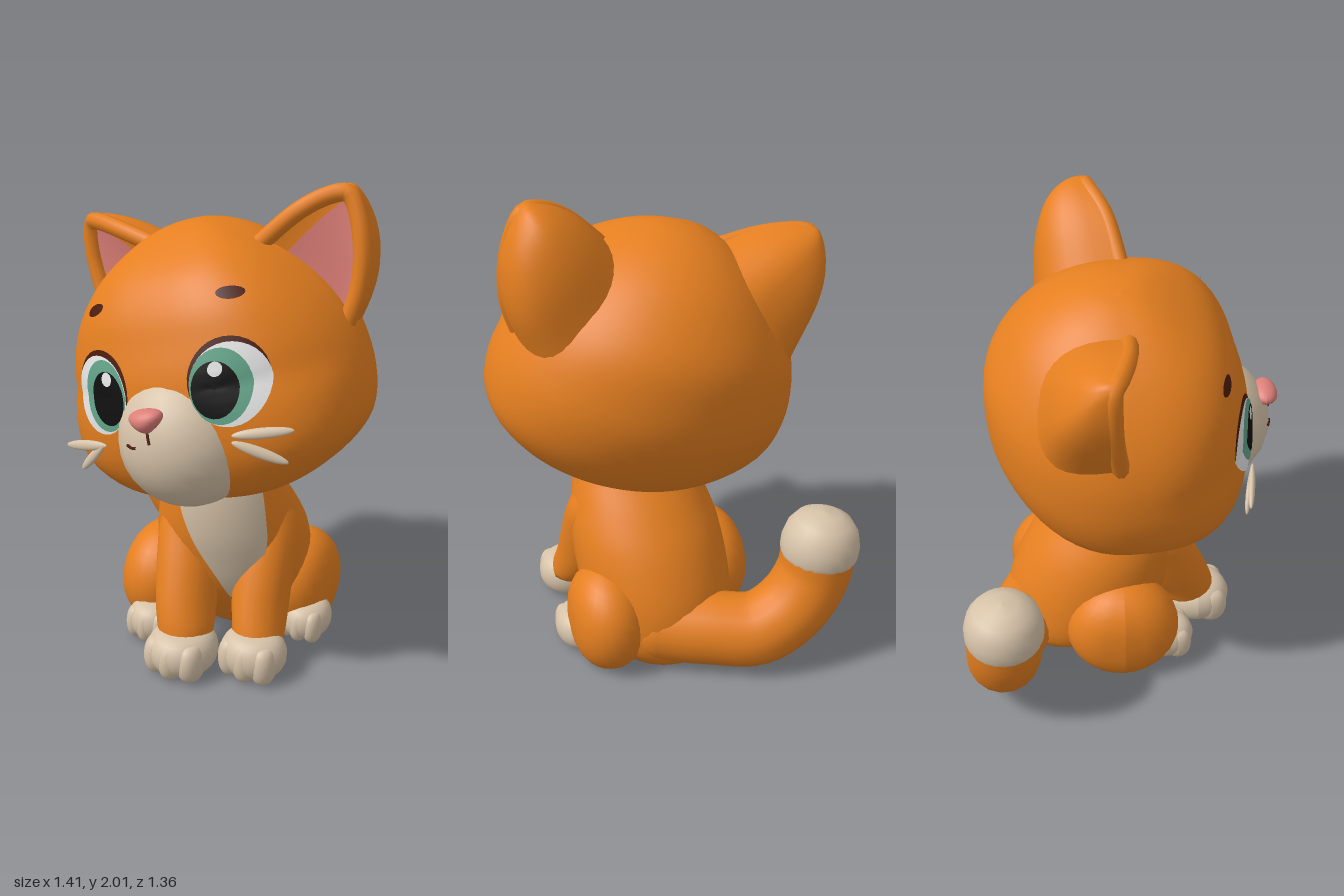
import * as THREE from 'three';

const mat = (name, color, side = THREE.FrontSide) => {
  const m = new THREE.MeshStandardMaterial({ color, side });
  m.name = name;
  return m;
};
const M = {
  orange: mat('orange fur', 0xe57f20),
  cream: mat('cream fur', 0xd6c2a8),
  pink: mat('pink skin', 0xdc7e77),
  white: mat('eye white', 0xe6e6e6),
  green: mat('iris green', 0x62a389),
  black: mat('pupil black', 0x101010),
  brown: mat('dark brown', 0x4b1b0c),
};
const V = (x, y, z) => new THREE.Vector3(x, y, z);

function add(parent, name, geometry, material) {
  const mesh = new THREE.Mesh(geometry, material);
  mesh.name = name;
  parent.add(mesh);
  return mesh;
}

// Skins a grid of points; closed rows wrap around.
function skin(rows, closed = true) {
  const n = rows[0].length, index = [];
  for (let i = 0; i < rows.length - 1; i++) {
    for (let j = 0; j < (closed ? n : n - 1); j++) {
      const a = i * n + j, b = i * n + (j + 1) % n;
      index.push(a, b, a + n, b, b + n, a + n);
    }
  }
  const g = new THREE.BufferGeometry().setFromPoints(rows.flat());
  g.setIndex(index);
  g.computeVertexNormals();
  return g;
}

// Horizontal ellipse sections [y, cx, cz, rx, rz], bottom to top, smoothed by splines.
function sampler(sections) {
  const a = new THREE.CatmullRomCurve3(sections.map(s => V(s[0], s[1], s[2])), false, 'catmullrom');
  const b = new THREE.CatmullRomCurve3(sections.map(s => V(s[0], s[3], s[4])), false, 'catmullrom');
  return t => {
    const p = a.getPoint(t), q = b.getPoint(t);
    return [p.x, p.y, p.z, Math.max(q.y, 0), Math.max(q.z, 0)];
  };
}
function loft(sections, steps = 16, n = 22) {
  const at = sampler(sections), rings = [];
  for (let i = 0; i <= steps; i++) rings.push(at(i / steps));
  rings.unshift([...rings[0].slice(0, 3), 0, 0]);
  rings.push([...rings[steps + 1].slice(0, 3), 0, 0]);
  return skin(rings.map(([y, cx, cz, rx, rz]) => Array.from({ length: n }, (_, j) => {
    const t = j / n * Math.PI * 2;
    return V(cx + rx * Math.sin(t), y, cz + rz * Math.cos(t));
  })));
}

// Ellipsoid whose vertices can be moved by a rule first.
function blob(rx, ry, rz, rule) {
  const g = new THREE.SphereGeometry(1, 24, 16), p = g.attributes.position;
  for (let i = 0; i < p.count; i++) {
    const v = V().fromBufferAttribute(p, i);
    if (rule) rule(v);
    p.setXYZ(i, v.x * rx, v.y * ry, v.z * rz);
  }
  g.computeVertexNormals();
  return g;
}

// Skull rows: height, half width, front depth, back depth.
const SKULL = [
  [-.53, 0, 0, 0], [-.525, .14, .16, .12], [-.5, .30, .32, .25], [-.43, .46, .44, .36],
  [-.3, .597, .515, .46], [-.14, .632, .54, .53], [.02, .612, .527, .545], [.16, .56, .484, .53],
  [.29, .475, .435, .465], [.41, .36, .345, .37], [.505, .225, .205, .24], [.555, .1, .09, .11], [.567, 0, 0, 0],
];
const skullAt = sampler(SKULL.map(([v, w, f, b]) => [v, w, 0, f, b]));
const skullRows = Array.from({ length: 49 }, (_, i) => skullAt(i / 48));
const fullness = v => 2.15 + 1.9 * Math.abs(v);   // forehead and jaw are squarer than an ellipse
const spow = (x, e) => Math.sign(x) * Math.abs(x) ** e;

function skullZ(u, v) {
  let i = 0;
  while (i < 47 && skullRows[i + 1][0] < v) i++;
  const a = skullRows[i], b = skullRows[i + 1], k = (v - a[0]) / (b[0] - a[0]);
  const w = a[1] + (b[1] - a[1]) * k, f = a[3] + (b[3] - a[3]) * k, e = fullness(v);
  return f * Math.max(0, 1 - Math.abs(u / w) ** e) ** (1 / e);
}

// Thin elliptical plate that follows the face.
function facePatch(cu, cv, ru, rv, lift, turn = 0) {
  const rows = [];
  for (let i = 8; i >= 0; i--) {
    rows.push(Array.from({ length: 32 }, (_, j) => {
      const t = j / 32 * Math.PI * 2, r = i / 8;
      const x = ru * r * Math.cos(t), y = rv * r * Math.sin(t);
      const u = cu + x * Math.cos(turn) - y * Math.sin(turn);
      const v = cv + x * Math.sin(turn) + y * Math.cos(turn);
      return V(u, v, skullZ(u, v) + lift);
    }));
  }
  return skin(rows);
}

function buildHead() {
  const head = new THREE.Group();
  head.name = 'head';
  head.position.set(.04, 1.273, 0);
  head.rotation.z = .25;
  add(head, 'skull', skin(skullRows.map(([v, w, , f, b]) => Array.from({ length: 56 }, (_, j) => {
    const t = j / 56 * Math.PI * 2, c = Math.cos(t), e = c > 0 ? 2 / fullness(v) : 1;
    return V(w * spow(Math.sin(t), e), v, (c > 0 ? f : b) * spow(c, e));
  }))), M.orange);

  // Eyes and brows
  for (const s of [-1, 1]) {
    const u = .03 + s * .285, side = s > 0 ? 'left' : 'right';
    add(head, side + 'EyeLid', facePatch(u - s * .006, .018, .144, .156, .004), M.brown);
    add(head, side + 'EyeWhite', facePatch(u, .002, .142, .152, .008), M.white);
    add(head, side + 'Iris', facePatch(u - s * .028, .001, .113, .138, .011), M.green);
    add(head, side + 'Pupil', facePatch(u - s * .046, -.008, .087, .104, .014), M.black);
    add(head, side + 'EyeGlint', facePatch(u - s * .045 + .011, .067, .027, .027, .017), M.white);
    add(head, side + 'Brow', facePatch(.03 + s * .298, .316, .048, .02, .008, -s * .25), M.brown);
  }

  // Muzzle, nose and mouth
  add(head, 'muzzle', blob(.278, .3, .29, v => { if (v.y < 0) v.y *= .92; }), M.cream)
    .position.set(.02, -.22, .36);
  add(head, 'nose', blob(.064, .046, .055, v => { v.x *= 1 + .5 * v.y; }), M.pink)
    .position.set(.024, -.074, .618);
  const mouths = [
    [V(.024, -.1, .627), V(.026, -.13, .638), V(.03, -.16, .645)],
    [V(-.035, -.172, .641), V(-.06, -.172, .635), V(-.085, -.163, .624)],
  ];
  for (const pts of mouths) {
    add(head, 'mouth', new THREE.TubeGeometry(new THREE.CatmullRomCurve3(pts), 8, .006, 6), M.brown);
  }
  return head;
}

// Ear: rim curve with smaller x first, full rounded back, pink lining with a fold on the inner side.
function buildEar(name, points, foldFirst) {
  const ear = new THREE.Group();
  ear.name = name;
  const rim = new THREE.CatmullRomCurve3(points.map(p => V(...p)), false, 'catmullrom');
  const middle = rim.getPoint(0).lerp(rim.getPoint(1), .5).lerp(rim.getPoint(.5), .45);
  const sheet = (from, to, square, grow, depth, thick) => skin(Array.from({ length: 17 }, (_, i) => {
    const [L, R] = [i / 32, 1 - i / 32].map(k => {
      const p = rim.getPoint(k);
      return p.add(p.clone().sub(middle).setZ(0).setLength(grow));
    });
    const reach = L.distanceTo(R) * depth + thick * (1 - (i / 16) ** 4);
    return Array.from({ length: 17 }, (_, j) => {
      const a = (from + (to - from) * j / 16) * Math.PI;
      const p = L.clone().lerp(R, .5 - .5 * spow(Math.cos(a), square));
      p.z -= Math.max(0, Math.sin(a)) ** square * reach;
      return p;
    });
  }), false);
  const cut = foldFirst ? .3 : .7;
  add(ear, 'earBack', sheet(1, 0, .75, .032, .53, .035), M.orange);
  add(ear, 'earInnerLeft', sheet(0, cut, 1, 0, .06, 0), foldFirst ? M.orange : M.pink);
  add(ear, 'earInnerRight', sheet(cut, 1, 1, 0, .06, 0), foldFirst ? M.pink : M.orange);
  add(ear, 'earRim', new THREE.TubeGeometry(rim, 40, .036, 10), M.orange);
  return ear;
}

// Paw with flat sole, three toes and a pad
function buildPaw(name, x, z, rx, h, rz) {
  const paw = new THREE.Group();
  paw.name = name;
  paw.position.set(x, 0, z);
  const flatBlob = (part, a, b, c, px, py, pz, power) => {
    const g = blob(a, b, c, v => {
      const k = Math.max(Math.hypot(v.x, v.z), 1e-4) ** power;
      v.x *= k;
      v.z *= k;
      v.y = Math.max(v.y, (.004 - py) / b);
    });
    add(paw, part, g, M.cream).position.set(px, py, pz);
  };
  flatBlob('foot', rx, h / 2, rz * .97, 0, h / 2, -rz * .02, -.45);
  for (const s of [-1, 0, 1]) {
    flatBlob('toe', rx * .37, h * .44, rz * .45, s * rx * .54, h * .44, rz * (s ? .4 : .52), -.35);
  }
  const pad = add(paw, 'pad', new THREE.CircleGeometry(1, 20).rotateX(Math.PI / 2), M.pink);
  pad.scale.set(rx * .5, 1, rz * .45);
  pad.position.y = .001;
  return paw;
}

export function createModel() {
  const cat = new THREE.Group();
  cat.name = 'sitting kitten';
  cat.add(buildHead());
  cat.add(buildEar('leftEar', [[.2, 1.74, .03], [.36, 1.895, -.02], [.48, 1.965, -.08], [.55, 1.955, -.1],
    [.605, 1.8, -.08], [.61, 1.62, -.06], [.56, 1.44, -.04]], true));
  cat.add(buildEar('rightEar', [[-.5, 1.28, -.03], [-.59, 1.48, -.06], [-.632, 1.62, -.07], [-.63, 1.73, -.07],
    [-.57, 1.75, -.04], [-.42, 1.735, 0], [-.22, 1.69, .02]], false));

  // Whiskers
  const whiskers = [
    [V(-.16, 1.025, .54), V(-.38, .97, .5)], [V(-.17, 1.03, .54), V(-.31, .88, .5)],
    [V(.39, 1.18, .53), V(.59, 1.205, .42)], [V(.39, 1.155, .53), V(.58, 1.08, .44)],
  ];
  for (const [a, b] of whiskers) {
    const w = add(cat, 'whisker', blob(.021, a.distanceTo(b) / 2, .014), M.cream);
    w.position.copy(a).lerp(b, .5);
    w.quaternion.setFromUnitVectors(V(0, 1, 0), b.clone().sub(a).normalize());
  }

  // Torso and chest bib
  const torso = [[.02, .05, -.24, .22, .22], [.12, .05, -.21, .3, .29], [.3, .06, -.13, .325, .355],
    [.5, .075, -.055, .32, .34], [.65, .085, .01, .285, .293], [.8, .085, .07, .24, .225], [.92, .08, .08, .19, .19]];
  add(cat, 'torso', loft(torso, 24, 40), M.orange);
  const torsoAt = sampler(torso), bib = [];
  const edge = pts => new THREE.SplineCurve(pts.map(p => new THREE.Vector2(...p)));
  const low = edge([[.28, .44], [.4, .3], [.55, .05], [.7, -.2], [.85, -.4]]);
  const high = edge([[.28, .48], [.4, .8], [.55, 1], [.7, 1.13], [.85, 1.3]]);
  for (let i = 0; i <= 20; i++) {
    const a = low.getPoint(i / 20), b = high.getPoint(i / 20);
    let t0 = 0, t1 = 1;
    for (let k = 0; k < 24; k++) {
      const m = (t0 + t1) / 2;
      if (torsoAt(m)[0] < a.x) t0 = m; else t1 = m;
    }
    const [y, cx, cz, rx, rz] = torsoAt(t0);
    bib.push(Array.from({ length: 15 }, (_, j) => {
      const t = a.y + (b.y - a.y) * j / 14;
      return V(cx + (rx + .007) * Math.sin(t), y, cz + (rz + .007) * Math.cos(t));
    }));
  }
  add(cat, 'chestBib', skin(bib, false), M.cream);

  // Front legs
  add(cat, 'rightFrontLeg', loft([[.13, .065, .33, .11, .115], [.2, .055, .31, .12, .13], [.3, .03, .26, .125, .15],
    [.45, 0, .185, .13, .16], [.6, -.025, .115, .125, .155], [.78, .0, .08, .08, .11]]), M.orange);
  add(cat, 'leftFrontLeg', loft([[.13, .34, .2, .105, .115], [.2, .325, .16, .11, .135], [.3, .305, .11, .118, .145],
    [.45, .29, .05, .125, .14], [.6, .285, .0, .11, .12], [.74, .23, .01, .08, .09]]), M.orange);
  cat.add(buildPaw('rightFrontPaw', .073, .37, .148, .19, .16));
  cat.add(buildPaw('leftFrontPaw', .345, .25, .142, .19, .135));

  // Hind legs, fuller than an ellipsoid toward the outer face
  const thigh = v => {
    const k = Math.max(Math.hypot(v.y, v.z), 1e-4) ** -.25;
    v.y = Math.max(v.y * k, -.8);
    v.z *= k;
  };
  add(cat, 'rightThigh', blob(.175, .245, .25, thigh), M.orange).position.set(-.22, .205, .0);
  add(cat, 'leftThigh', blob(.158, .235, .23, thigh), M.orange).position.set(.31, .195, -.255);
  cat.add(buildPaw('rightHindPaw', -.17, .2, .115, .17, .13));
  cat.add(buildPaw('leftHindPaw', .4, -.14, .108, .165, .13));

  // Tail with rounded root and cream tip
  const path = new THREE.CatmullRomCurve3([V(.1, .167, -.35), V(-.09, .167, -.44), V(-.28, .175, -.515),
    V(-.43, .27, -.525), V(-.52, .41, -.515), V(-.545, .54, -.51)]);
  add(cat, 'tail', new THREE.TubeGeometry(path, 28, .157, 18), M.orange);
  add(cat, 'tailRoot', blob(.157, .157, .157), M.orange).position.copy(path.getPoint(0));
  const tip = [[.158, -.02], [.164, 0], [.164, .045], [.15, .1], [.118, .145], [.065, .172], [0, .18]];
  const tailTip = add(cat, 'tailTip', new THREE.LatheGeometry(tip.map(p => new THREE.Vector2(...p)), 24), M.cream);
  tailTip.position.set(-.543, .52, -.51);
  tailTip.rotation.z = .1;
  return cat;
}
